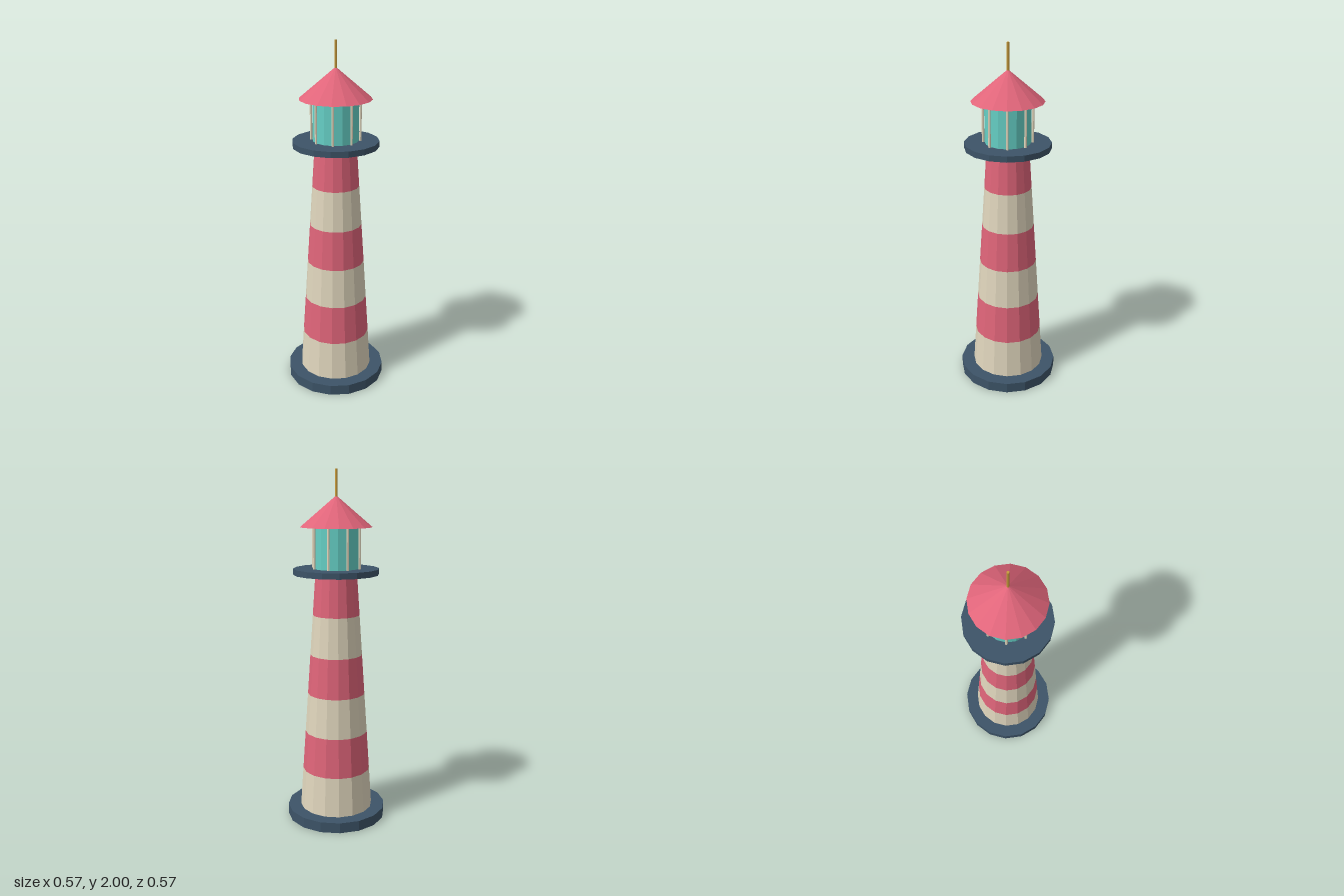
import * as THREE from 'three';

const SIDES = 16;
const paint = (color) => new THREE.MeshStandardMaterial({ color, flatShading: true });

export function createModel() {
  const model = new THREE.Group();
  const red = paint(0xe0657a);
  const cream = paint(0xe0d6bd);
  const navy = paint(0x3d5468);
  const teal = paint(0x66d0c6);
  const gold = paint(0xc89b3c);

  // Upright faceted cylinder or cone spanning y0 to y1
  function drum(name, rBottom, rTop, y0, y1, material, sides = SIDES, open = false) {
    const geometry = new THREE.CylinderGeometry(rTop, rBottom, y1 - y0, sides, 1, open);
    const mesh = new THREE.Mesh(geometry, material);
    mesh.name = name;
    mesh.position.y = (y0 + y1) / 2;
    model.add(mesh);
    return mesh;
  }

  // Footing
  drum('base', 0.285, 0.285, 0, 0.06, navy);

  // Tapered tower in six alternating bands
  const bands = 6, bottom = 0.06, top = 1.43;
  const radiusAt = (t) => THREE.MathUtils.lerp(0.21, 0.117, t);
  const heightAt = (t) => THREE.MathUtils.lerp(bottom, top, t);
  for (let i = 0; i < bands; i++) {
    const a = i / bands, b = (i + 1) / bands;
    drum(`towerBand${i + 1}`, radiusAt(a), radiusAt(b), heightAt(a), heightAt(b),
      i % 2 ? red : cream, SIDES, true);
  }

  // Gallery deck and glazed lantern room
  drum('gallery', 0.24, 0.24, 1.43, 1.463, navy);
  drum('lanternGlass', 0.127, 0.127, 1.463, 1.69, teal);

  // Ring of posts around the glass
  const posts = 8;
  for (let i = 0; i < posts; i++) {
    const angle = (i / posts) * Math.PI * 2;
    const post = drum(`lanternPost${i + 1}`, 0.007, 0.007, 1.463, 1.69, cream, 6);
    post.position.x = Math.sin(angle) * 0.135;
    post.position.z = Math.cos(angle) * 0.135;
  }

  // Conical roof and finial
  const roof = new THREE.Mesh(new THREE.ConeGeometry(0.2, 0.17, SIDES), red);
  roof.name = 'roof';
  roof.position.y = 1.69 + 0.085;
  model.add(roof);
  drum('finial', 0.007, 0.007, 1.85, 2, gold, 6);

  return model;
}
